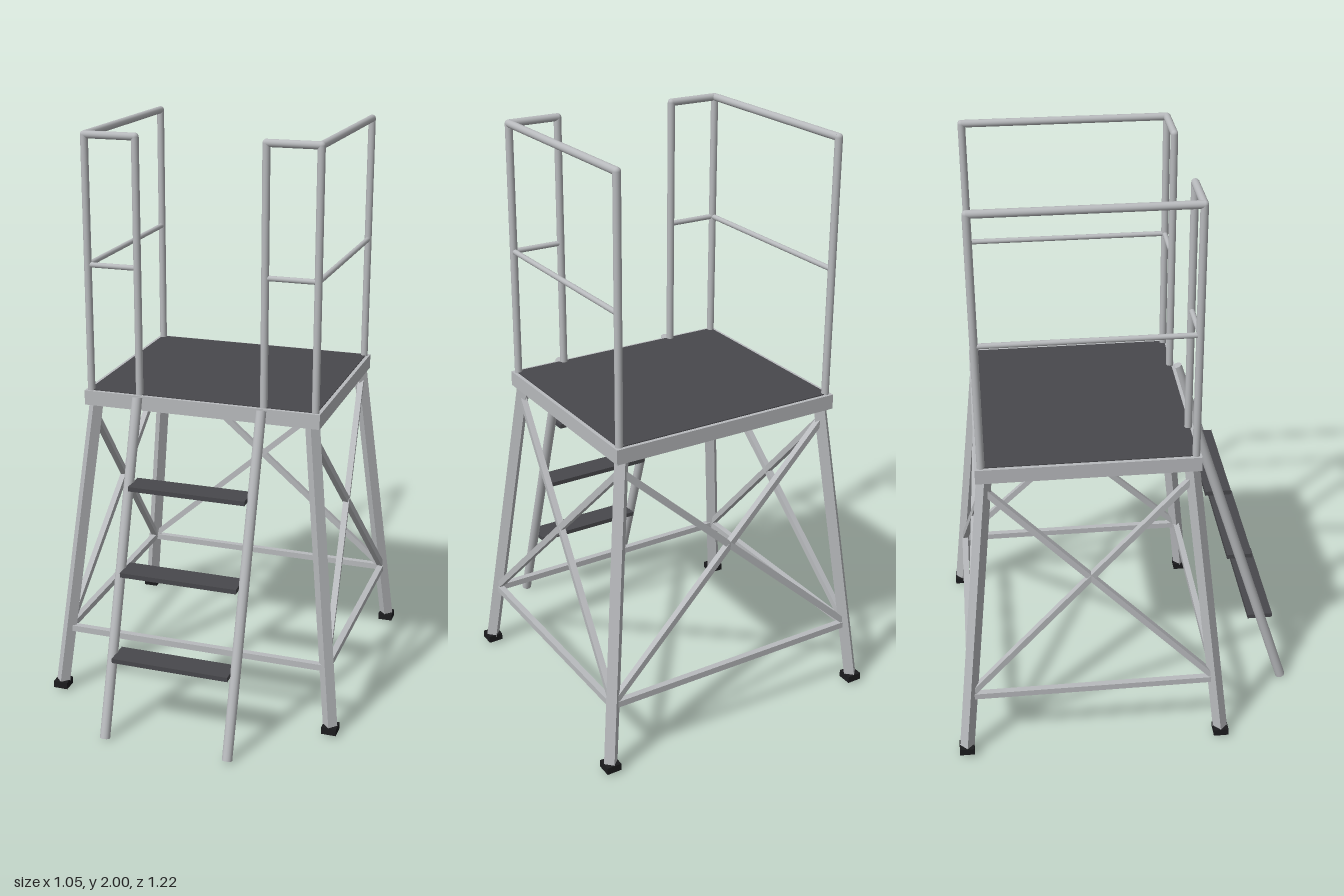
import * as THREE from 'three';

const steel = new THREE.MeshStandardMaterial({ color: 0xb8babd });
steel.name = 'steel';
const deckGrey = new THREE.MeshStandardMaterial({ color: 0x48484c });
deckGrey.name = 'dark grip surface';
const rubber = new THREE.MeshStandardMaterial({ color: 0x1c1c1e });
rubber.name = 'black rubber';

const CZ = -0.135; // centre of the platform in z
const V = (x, y, z) => new THREE.Vector3(x, y, z);

export function createModel() {
  const model = new THREE.Group();
  model.name = 'workPlatform';

  const add = (name, geometry, material, position) => {
    const mesh = new THREE.Mesh(geometry, material);
    mesh.name = name;
    mesh.position.copy(position);
    model.add(mesh);
    return mesh;
  };
  const box = (name, w, h, d, material, position) =>
    add(name, new THREE.BoxGeometry(w, h, d), material, position);

  // Square bar between two points, kept level across its width
  const bar = (name, a, b, size) => {
    const mid = a.clone().add(b).multiplyScalar(0.5);
    box(name, size, size, a.distanceTo(b), steel, mid).lookAt(b);
  };

  // Round tube between two points
  const tube = (name, a, b, r) => {
    const mid = a.clone().add(b).multiplyScalar(0.5);
    const mesh = add(name, new THREE.CylinderGeometry(r, r, a.distanceTo(b), 16), steel, mid);
    mesh.quaternion.setFromUnitVectors(V(0, 1, 0), b.clone().sub(a).normalize());
  };
  const joint = (p, r) => add('railJoint', new THREE.SphereGeometry(r, 16, 10), steel, p);

  // Platform slab with a dark walking surface
  box('platformFrame', 0.832, 0.051, 0.737, steel, V(0, 1.0945, CZ));
  box('deckSurface', 0.806, 0.004, 0.711, deckGrey, V(0, 1.121, CZ));

  // Point on the centre line of a leg at height y
  const legPoint = (sx, sz, y) => {
    const t = (y - 0.02) / 1.05;
    return V(sx * (0.5 - 0.115 * t), y, CZ + sz * (0.452 - 0.112 * t));
  };

  // Splayed legs and feet
  for (const sx of [-1, 1]) {
    for (const sz of [-1, 1]) {
      bar('leg', legPoint(sx, sz, 0.02), legPoint(sx, sz, 1.075), 0.036);
      box('foot', 0.052, 0.025, 0.052, rubber, legPoint(sx, sz, 0.0225));
    }
  }

  // Low braces all round; crossed braces on every side but the front
  const corners = [[1, 1], [1, -1], [-1, -1], [-1, 1]];
  corners.forEach((c, i) => {
    const d = corners[(i + 1) % 4];
    bar('lowerBrace', legPoint(...c, 0.24), legPoint(...d, 0.24), 0.022);
    if (i === 3) return;
    bar('crossBrace', legPoint(...c, 0.245), legPoint(...d, 1.03), 0.021);
    bar('crossBrace', legPoint(...d, 0.245), legPoint(...c, 1.03), 0.021);
  });

  // Guard rails: an L on each side, open at the ladder and the back
  const railTop = 1.987, railMid = 1.557, zFront = 0.215, zBack = -0.483;
  for (const s of [-1, 1]) {
    const posts = [[s * 0.397, zBack], [s * 0.397, zFront], [s * 0.22, zFront]];
    posts.forEach(([x, z], i) => {
      tube('railPost', V(x, 1.11, z), V(x, railTop, z), 0.0128);
      joint(V(x, railTop, z), 0.0128);
      if (i === 0) return;
      const [px, pz] = posts[i - 1];
      tube('topRail', V(px, railTop, pz), V(x, railTop, z), 0.0128);
      tube('middleRail', V(px, railMid, pz), V(x, railMid, z), 0.009);
    });
  }

  // Sloping ladder with three treads
  const low = V(0, 0.006, 0.595), high = V(0, 1.117, 0.242);
  for (const s of [-1, 1]) {
    tube('ladderRail', low.clone().setX(s * 0.219), high.clone().setX(s * 0.219), 0.0175);
  }
  for (let i = 1; i <= 3; i++) {
    const p = low.clone().lerp(high, i / 4);
    box('ladderTread', 0.41, 0.016, 0.09, deckGrey, V(0, p.y - 0.003, p.z));
  }

  return model;
}
